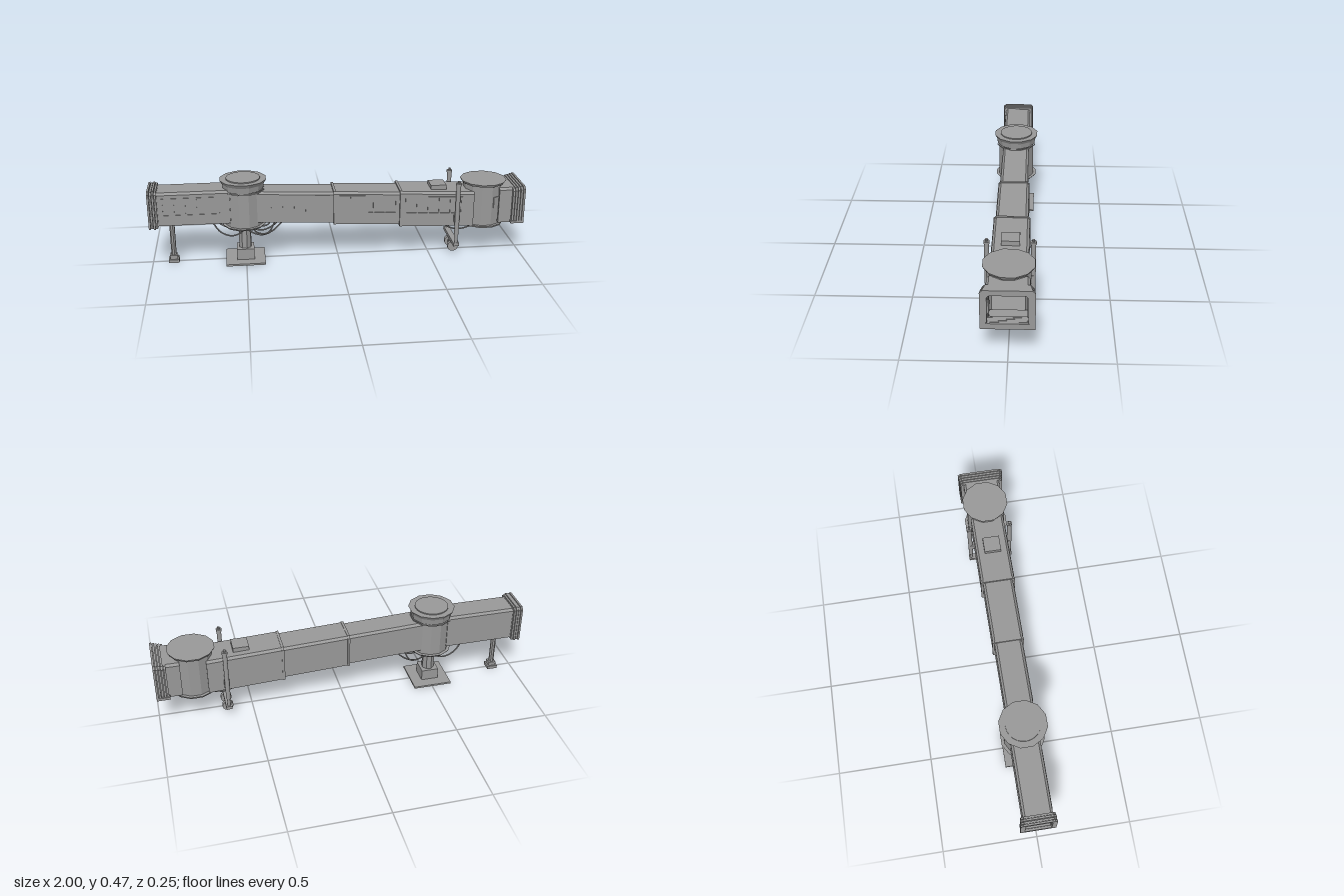
import * as THREE from 'three';

const grey = new THREE.MeshStandardMaterial({ color: 0x999999, flatShading: true, side: THREE.DoubleSide });
grey.name = 'paintedGrey';

export function createModel() {
  const root = new THREE.Group();
  root.name = 'boardingBridge';

  const add = (name, geo, x = 0, y = 0, z = 0) => {
    const m = new THREE.Mesh(geo, grey);
    m.name = name;
    m.position.set(x, y, z);
    root.add(m);
    return m;
  };
  const box = (name, x0, x1, y0, y1, z0, z1) =>
    add(name, new THREE.BoxGeometry(x1 - x0, y1 - y0, z1 - z0), (x0 + x1) / 2, (y0 + y1) / 2, (z0 + z1) / 2);
  const cyl = (name, rTop, rBottom, x, y0, y1, z = 0, sides = 12, open = false) =>
    add(name, new THREE.CylinderGeometry(rTop, rBottom, y1 - y0, sides, 1, open, Math.PI / 12), x, (y0 + y1) / 2, z);

  // Outline with chamfered top corners
  const outline = (Target, w, y0, y1, c) => {
    const s = new Target();
    s.moveTo(-w, y0);
    s.lineTo(w, y0);
    s.lineTo(w, y1 - c);
    s.lineTo(w - c, y1);
    s.lineTo(-w + c, y1);
    s.lineTo(-w, y1 - c);
    s.closePath();
    return s;
  };
  // Hollow sleeve along x, sheared by a slope
  const sleeve = (name, x0, x1, w, y0, y1, t, c = 0.012, slope = 0) => {
    const s = outline(THREE.Shape, w, y0, y1, c);
    s.holes.push(outline(THREE.Path, w - t, y0 + t, y1 - t, c));
    const g = new THREE.ExtrudeGeometry(s, { depth: x1 - x0, bevelEnabled: false });
    g.rotateY(Math.PI / 2).translate(x0, 0, 0);
    const p = g.attributes.position;
    for (let i = 0; i < p.count; i++) p.setY(i, p.getY(i) + slope * p.getX(i));
    return add(name, g);
  };
  // Thin window frame on the +z wall
  const windows = (x0, x1, yMid, z, slope) => {
    const n = 5, h = 0.05, gap = 0.007, step = (x1 - x0 - gap) / n;
    const s = new THREE.Shape();
    s.moveTo(x0, -h); s.lineTo(x1, -h); s.lineTo(x1, h); s.lineTo(x0, h); s.closePath();
    for (let i = 0; i < n; i++) {
      const a = x0 + gap + i * step, b = a + step - gap, k = h - gap;
      const hole = new THREE.Path();
      hole.moveTo(a, -k); hole.lineTo(b, -k); hole.lineTo(b, k); hole.lineTo(a, k); hole.closePath();
      s.holes.push(hole);
    }
    const g = new THREE.ExtrudeGeometry(s, { depth: 0.003, bevelEnabled: false });
    const p = g.attributes.position;
    for (let i = 0; i < p.count; i++) p.setY(i, p.getY(i) + slope * p.getX(i));
    add('windowFrame', g, 0, yMid, z);
  };
  // Round room walls, open towards both tunnels, with full rings above and below
  const roundWall = (name, r, x, y0, y1, low, high) => {
    for (const side of [0, Math.PI])
      add(name, new THREE.CylinderGeometry(r, r, high - low, 3, 1, true, side - Math.PI / 4, Math.PI / 2), x, (low + high) / 2);
    cyl(name + 'Sill', r, r, x, y0, low, 0, 12, true);
    cyl(name + 'Lintel', r, r, x, high, y1, 0, 12, true);
  };

  // Fixed tunnel and its building-side bellows
  sleeve('fixedTunnel', -0.96, -0.575, 0.075, 0.237, 0.418, 0.008);
  windows(-0.93, -0.63, 0.338, 0.075, 0);
  for (let i = 0; i < 4; i++) {
    const d = i % 2 ? 0 : 0.004;
    sleeve('rearBellows', -1 + i * 0.0125, -0.99 + i * 0.0125, 0.09 - i * 0.001 + d * 0.5, 0.228 - d, 0.427 + d, 0.024, 0.014);
  }
  sleeve('rearBellowsLining', -0.998, -0.95, 0.078, 0.234, 0.42, 0.01);

  // Telescopic tunnels
  const slope = -0.046;
  [[-0.435, 0.02, 0.073, 0.085], [-0.025, 0.36, 0.081, 0.09], [0.33, 0.73, 0.09, 0.097]].forEach(([x0, x1, w, h], i) => {
    const mid = 0.298;
    sleeve('telescopicTunnel', x0, x1, w, mid - h, mid + h, 0.008, 0.012, slope);
    if (i) sleeve('tunnelCollar', x0 - 0.005, x0 + 0.008, w + 0.003, mid - h - 0.003, mid + h + 0.003, 0.02, 0.013, slope);
    const start = [-0.36, 0.0, 0.355][i];
    windows(start, start + 0.31, mid + 0.022, w, slope);
  });
  box('roofUnit', 0.5, 0.585, 0.35, 0.393, -0.045, 0.045);

  // Rear round room
  const rx = -0.503;
  roundWall('rearRoomWall', 0.101, rx, 0.205, 0.445, 0.237, 0.405);
  cyl('rearRoomFloor', 0.101, 0.101, rx, 0.23, 0.238);
  cyl('rearRoomBase', 0.118, 0.108, rx, 0.2, 0.212);
  cyl('rearRoofRing', 0.113, 0.113, rx, 0.4, 0.408, 0, 12, true);
  cyl('rearRoofSkirt', 0.113, 0.108, rx, 0.408, 0.44, 0, 12, true);
  cyl('rearRoofFlare', 0.125, 0.112, rx, 0.438, 0.46);
  cyl('rearRoofDisc', 0.09, 0.09, rx, 0.46, 0.466, 0, 24);

  // Main column and footing
  cyl('column', 0.034, 0.034, rx, 0.06, 0.205, 0, 8);
  box('columnPlinth', rx - 0.047, rx + 0.047, 0.01, 0.07, -0.047, 0.047);
  box('groundPlate', rx - 0.105, rx + 0.105, 0, 0.01, -0.105, 0.105);

  // Rear support leg
  cyl('rearLeg', 0.014, 0.014, -0.888, 0.035, 0.24, 0, 8);
  box('rearLegFoot', -0.916, -0.86, 0, 0.018, -0.028, 0.028);
  box('rearLegAnkle', -0.908, -0.868, 0.018, 0.04, -0.02, 0.02);

  // Cab round room
  const cx = 0.797;
  roundWall('cabWall', 0.106, cx, 0.165, 0.4, 0.185, 0.362);
  cyl('cabBase', 0.122, 0.118, cx, 0.162, 0.172);
  cyl('cabFloor', 0.104, 0.104, cx, 0.18, 0.188);
  cyl('cabRoof', 0.125, 0.118, cx, 0.395, 0.408);
  const pane = add('cabWindow', new THREE.BoxGeometry(0.034, 0.06, 0.006),
    cx + Math.sin(Math.PI / 6) * 0.104, 0.3, Math.cos(Math.PI / 6) * 0.104);
  pane.rotation.y = Math.PI / 6;

  // Cab exit and aircraft-side bellows
  sleeve('cabExit', 0.865, 0.945, 0.1, 0.185, 0.382, 0.012);
  for (let i = 0; i < 5; i++)
    sleeve('frontBellows', 0.935 + i * 0.0135, 0.946 + i * 0.0135, 0.117 + i * 0.002, 0.192 - i * 0.001, 0.382 + i * 0.003, 0.02 + i * 0.002, 0.014);
  sleeve('frontBellowsLining', 0.94, 0.998, 0.105, 0.19, 0.38, 0.012, 0.014);
  box('frontBumper', 0.93, 1, 0.186, 0.2, -0.124, 0.124);

  // Lifting posts, cross beam and wheels
  const wx = 0.635;
  for (const s of [-1, 1]) {
    const z = s * 0.111;
    cyl('liftPost', 0.012, 0.012, wx, 0.13, 0.412, z);
    cyl('liftPostCap', 0.015, 0.015, wx, 0.41, 0.424, z);
    cyl('liftPostTip', 0.007, 0.007, wx, 0.424, 0.435, z, 8);
    cyl('liftRam', 0.008, 0.008, wx, 0.08, 0.135, z);
    box('liftBracket', wx - 0.014, wx + 0.014, 0.2, 0.24, Math.min(s * 0.085, z), Math.max(s * 0.085, z));
    const wheel = cyl('wheel', 0.029, 0.029, wx, -0.01, 0.01, s * 0.037, 16);
    wheel.position.y = 0.033;
    wheel.rotation.x = Math.PI / 2;
    box('wheelFork', wx - 0.01, wx + 0.01, 0.03, 0.066, s * 0.012 - 0.004, s * 0.012 + 0.004);
  }
  box('crossBeam', wx - 0.016, wx + 0.016, 0.065, 0.083, -0.123, 0.123);
  box('axleHousing', wx - 0.011, wx + 0.011, 0.02, 0.04, -0.028, 0.028);

  // Hanging cables
  const cable = (z, pts) => {
    const curve = new THREE.CatmullRomCurve3(pts.map(([x, y]) => new THREE.Vector3(x, y, z)));
    add('cable', new THREE.TubeGeometry(curve, 20, 0.004, 6));
  };
  for (const z of [-0.055, 0.055]) {
    cable(z, [[-0.67, 0.237], [-0.63, 0.18], [-0.57, 0.156], [-0.52, 0.175], [-0.5, 0.205]]);
    cable(z * 0.6, [[-0.5, 0.2], [-0.47, 0.165], [-0.41, 0.145], [-0.35, 0.17], [-0.29, 0.232]]);
    cable(z, [[-0.47, 0.2], [-0.43, 0.165], [-0.38, 0.165], [-0.34, 0.232]]);
    cable(z, [[0.57, 0.18], [0.61, 0.15], [0.66, 0.14], [0.71, 0.15], [0.74, 0.166]]);
  }

  return root;
}
